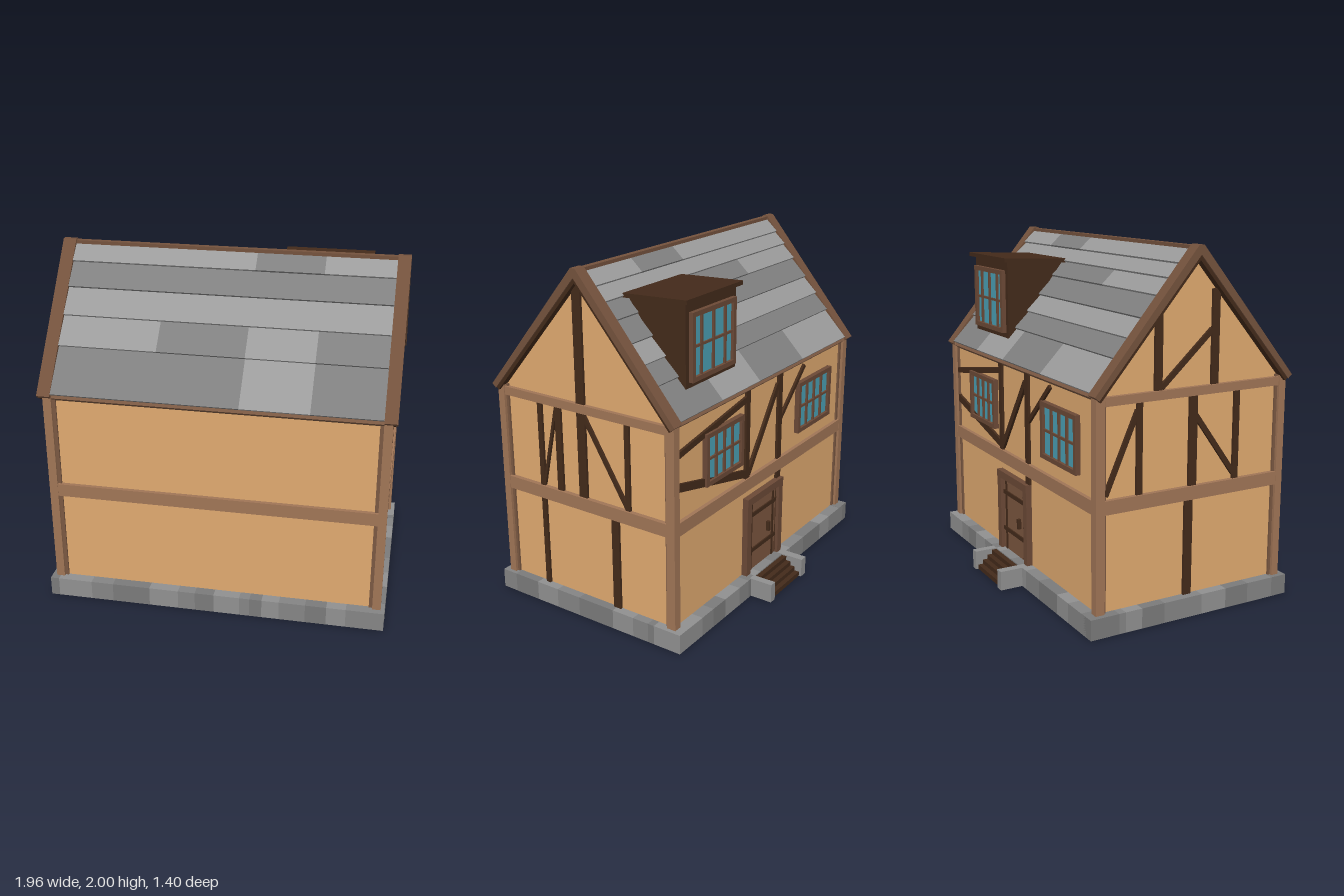
import * as THREE from 'three';

const C = {
  wall: 0xdfa96f, post: 0xa07556, trim: 0x7a5842, barge: 0x74523d, dark: 0x432a1a,
  door: 0x7b563f, frame: 0x6b4936, glass: 0x4ba0b4,
  stoneA: 0x909090, stoneB: 0x848484, stoneC: 0x7a7a7a, tileL: 0x9c9c9c, tileD: 0x808080,
};
const mats = {};
const mat = (c) => (mats[c] ??= new THREE.MeshStandardMaterial({ color: C[c] }));

export function createModel() {
  const model = new THREE.Group();
  model.name = 'cottage';

  const add = (name, color, geo) => {
    const m = new THREE.Mesh(geo, mat(color));
    m.name = name;
    model.add(m);
    return m;
  };
  // Box from its limits on each axis
  const box = (name, color, x0, x1, y0, y1, z0, z1) => {
    const g = new THREE.BoxGeometry(x1 - x0, y1 - y0, z1 - z0);
    return add(name, color, g.translate((x0 + x1) / 2, (y0 + y1) / 2, (z0 + z1) / 2));
  };
  // Profile of [z, y] points extruded along x
  const prism = (name, color, pts, x0, x1) => {
    const shape = new THREE.Shape(pts.map((p) => new THREE.Vector2(p[0], p[1])));
    const g = new THREE.ExtrudeGeometry(shape, { depth: x1 - x0, bevelEnabled: false });
    return add(name, color, g.rotateY(-Math.PI / 2).translate(x1, 0, 0));
  };
  // Bar from a to b, facing n, w wide and t thick
  const beam = (name, color, a, b, n, w, t) => {
    const A = new THREE.Vector3(...a), B = new THREE.Vector3(...b);
    const up = B.clone().sub(A), len = up.length();
    up.normalize();
    const out = new THREE.Vector3(...n);
    out.addScaledVector(up, -out.dot(up)).normalize();
    const side = up.clone().cross(out);
    const m = new THREE.Matrix4().makeBasis(side, up, out).setPosition(A.add(B).multiplyScalar(0.5));
    return add(name, color, new THREE.BoxGeometry(w, len, t).applyMatrix4(m));
  };

  // Floor and stone foundation ring
  box('floor', 'wall', -0.975, 0.97, 0, 0.06, -0.565, 0.695);
  const stones = ['stoneA', 'stoneC', 'stoneB'];
  const xs = [-0.98, -0.93, -0.73, -0.6, -0.38, -0.21, -0.11, 0, 0.15, 0.21, 0.28, 0.38, 0.53, 0.65, 0.76, 0.975];
  const zs = [-0.57, -0.4, -0.36, -0.26, -0.12, 0.12, 0.28, 0.43, 0.6];
  for (let i = 0; i < xs.length - 1; i++) {
    box('foundationStone', stones[(i * 2 + 1) % 3], xs[i], xs[i + 1], 0.002, 0.115, 0.6, 0.7);
    box('foundationStone', stones[(i + 1) % 3], xs[i], xs[i + 1], 0.002, 0.115, -0.57, -0.47);
  }
  for (let i = 0; i < zs.length - 1; i++) {
    box('foundationStone', stones[i % 3], 0.875, 0.976, 0.002, 0.116, zs[i], zs[i + 1]);
    box('foundationStone', stones[(i + 1) % 3], -0.981, -0.88, 0.002, 0.116, zs[i], zs[i + 1]);
  }

  // Plastered body with gables
  prism('walls', 'wall', [[0.64, 0.06], [0.64, 1.27], [0.07, 1.95], [-0.5, 1.27], [-0.5, 0.06]], -0.925, 0.925);

  // Corner posts with a darker inner trim
  for (const s of [-1, 1]) {
    const span = (a, b) => (s > 0 ? [a, b] : [-b, -a]);
    for (const [z0, z1, t0, t1] of [[0.622, 0.665, 0.607, 0.65], [-0.525, -0.472, -0.51, -0.457]]) {
      box('cornerPost', 'post', ...span(0.905, 0.953), 0.11, 1.29, z0, z1);
      box('cornerTrim', 'trim', ...span(0.885, 0.937), 0.11, 1.28, t0, t1);
    }
    box('gableTie', 'post', ...span(0.9, 0.95), 1.22, 1.268, -0.47, 0.62);
  }
  box('floorBand', 'post', -0.951, 0.951, 0.655, 0.73, -0.523, 0.663);

  // Dark timbers on the two gable ends: [z0, y0, z1, y1, width]
  const gable = {
    1: [[0.38, 0.11, 0.38, 0.66, 0.03], [-0.125, 0.11, -0.125, 0.66, 0.048], [0.38, 0.73, 0.38, 1.22, 0.03],
      [0.25, 0.73, 0.25, 1.22, 0.04], [0.088, 0.73, 0.088, 1.93, 0.055], [-0.215, 0.73, -0.215, 1.22, 0.03],
      [0.37, 0.735, 0.265, 1.21, 0.016], [0.075, 1.21, -0.21, 0.74, 0.024]],
    '-1': [[0.05, 0.11, 0.05, 0.66, 0.05], [-0.26, 0.73, -0.26, 1.22, 0.035], [0.07, 0.73, 0.07, 1.22, 0.05],
      [0.35, 0.73, 0.35, 1.22, 0.035], [-0.46, 0.75, -0.27, 1.18, 0.028], [0.08, 1.12, 0.34, 0.76, 0.03],
      [-0.15, 1.26, -0.15, 1.66, 0.045], [0.2, 1.26, 0.2, 1.77, 0.045], [-0.13, 1.28, 0.18, 1.56, 0.03]],
  };
  for (const s of [1, -1]) {
    for (const [z0, y0, z1, y1, w] of gable[s])
      beam('gableTimber', 'dark', [s * 0.925, y0, z0], [s * 0.925, y1, z1], [s, 0, 0], w, 0.03);
  }

  // Dark timbers on the back wall: [x0, y0, x1, y1, width]
  for (const [x0, y0, x1, y1, w] of [[-0.132, 0.11, -0.132, 1.27, 0.045], [0.225, 0.73, 0.225, 1.27, 0.04],
    [0.21, 0.75, -0.11, 1.2, 0.035], [-0.15, 0.98, -0.42, 1.23, 0.025],
    [0.89, 0.92, 0.23, 0.76, 0.045], [0.89, 1.1, 0.23, 1.21, 0.035]])
    beam('backTimber', 'dark', [x0, y0, -0.5], [x1, y1, -0.5], [0, 0, -1], w, 0.03);

  // Leaded window on a plane facing -z; cols are relative pane widths
  const windowAt = (x0, x1, y0, y1, z, cols) => {
    const f = 0.026, bar = 0.014;
    box('windowGlass', 'glass', x0 + 0.01, x1 - 0.01, y0 + 0.01, y1 - 0.01, z - 0.012, z + 0.02);
    for (const [a, b] of [[x0, x0 + f], [x1 - f, x1]]) box('windowFrame', 'frame', a, b, y0, y1, z - 0.03, z + 0.02);
    for (const [a, b] of [[y0, y0 + f], [y1 - f, y1]]) box('windowFrame', 'frame', x0 + f, x1 - f, a, b, z - 0.03, z + 0.02);
    const ym = (y0 + y1) / 2, total = cols.reduce((p, c) => p + c, 0);
    box('windowBar', 'frame', x0 + f, x1 - f, ym - bar / 2, ym + bar / 2, z - 0.022, z);
    let u = x0 + f;
    for (const c of cols.slice(0, -1)) {
      u += (c / total) * (x1 - x0 - 2 * f);
      box('windowBar', 'frame', u - bar / 2, u + bar / 2, y0 + f, y1 - f, z - 0.024, z);
    }
  };
  windowAt(0.29, 0.66, 0.84, 1.14, -0.5, [1, 1, 1, 1]);
  windowAt(-0.745, -0.335, 0.82, 1.14, -0.5, [1, 1, 1, 1]);

  // Door with frame, ledges and handle
  box('doorPanel', 'door', -0.11, 0.205, 0.11, 0.565, -0.51, -0.48);
  box('doorJamb', 'frame', 0.2, 0.245, 0.11, 0.6, -0.535, -0.49);
  box('doorJamb', 'frame', -0.155, -0.11, 0.11, 0.6, -0.535, -0.49);
  box('doorLintel', 'frame', -0.155, 0.245, 0.56, 0.605, -0.537, -0.49);
  for (const y of [0.23, 0.46]) box('doorLedge', 'dark', -0.11, 0.2, y, y + 0.025, -0.518, -0.5);
  for (const x of [-0.085, 0.16]) box('doorStile', 'dark', x, x + 0.016, 0.11, 0.56, -0.516, -0.5);
  box('doorHandle', 'dark', -0.03, -0.01, 0.3, 0.36, -0.53, -0.5);

  // Entrance steps between two stone cheeks
  box('stepCheek', 'stoneA', -0.16, -0.11, 0.002, 0.115, -0.705, -0.56);
  box('stepCheek', 'stoneA', 0.207, 0.252, 0.002, 0.115, -0.705, -0.56);
  for (let i = 0; i < 4; i++)
    box('step', 'dark', -0.11, 0.207, 0.002, 0.03 + i * 0.026, -0.69 + i * 0.03, -0.56);

  // Roof: chevron layers lying d below the outer slope, t thick
  const K = 1.2, nz = 0.768, ny = 0.64;
  const chevron = (name, color, d, t, x0, x1) => {
    const at = (s, e) => [0.07 + s * (0.615 - nz * e), 1.28 - ny * e];
    const top = (e) => 2.0 - e / ny;
    prism(name, color, [at(1, d), [0.085, top(d)], [0.055, top(d)], at(-1, d),
      at(-1, d + t), [0.07, top(d + t)], at(1, d + t)], x0, x1);
  };
  chevron('roofDeck', 'trim', 0.025, 0.03, -0.91, 0.91);
  for (const [x0, x1] of [[-0.98, -0.905], [0.905, 0.976]]) {
    chevron('bargeboard', 'barge', 0, 0.032, x0, x1);
    chevron('bargeLining', 'dark', 0.032, 0.018, x0 + 0.008, x1 - 0.008);
  }
  box('ridgeCap', 'barge', -0.905, 0.905, 1.965, 1.994, 0.053, 0.087);

  // Overlapping tile courses, each with four colour patches (L light, D dark)
  const cols = [-0.905, -0.35, 0.14, 0.52, 0.905];
  const slopes = [
    [1, [1.292, 1.51, 1.65, 1.78, 1.9, 1.985], ['DDLD', 'LDLD', 'LLLL', 'DDDD', 'LLDL']],
    [-1, [1.292, 1.454, 1.55, 1.646, 1.754, 1.838, 1.91, 1.985],
      ['LDLD', 'DDDD', 'LLLL', 'DDDD', 'LDDD', 'LLLL', 'LLDL']],
  ];
  for (const [s, ys, rows] of slopes) {
    const on = (y, x, d) => [x, y - ny * d, 0.07 + s * (0.015 + (2 - y) / K - nz * d)];
    rows.forEach((row, r) => [...row].forEach((tone, c) => {
      const x = (cols[c] + cols[c + 1]) / 2;
      beam('roofTiles', 'tile' + tone, on(ys[r], x, 0.008), on(ys[r + 1] + 0.012, x, 0.024),
        [0, ny, s * nz], cols[c + 1] - cols[c], 0.014);
    }));
  }

  // Dormer with a low sloping roof
  prism('dormerBody', 'dark', [[-0.44, 1.36], [-0.44, 1.85], [-0.08, 1.83]], 0.255, 0.725);
  prism('dormerRoof', 'dark', [[-0.468, 1.843], [-0.468, 1.866], [-0.07, 1.85], [-0.07, 1.826]], 0.23, 0.755);
  windowAt(0.285, 0.695, 1.42, 1.79, -0.435, [0.6, 1, 1, 0.6]);

  return model;
}
